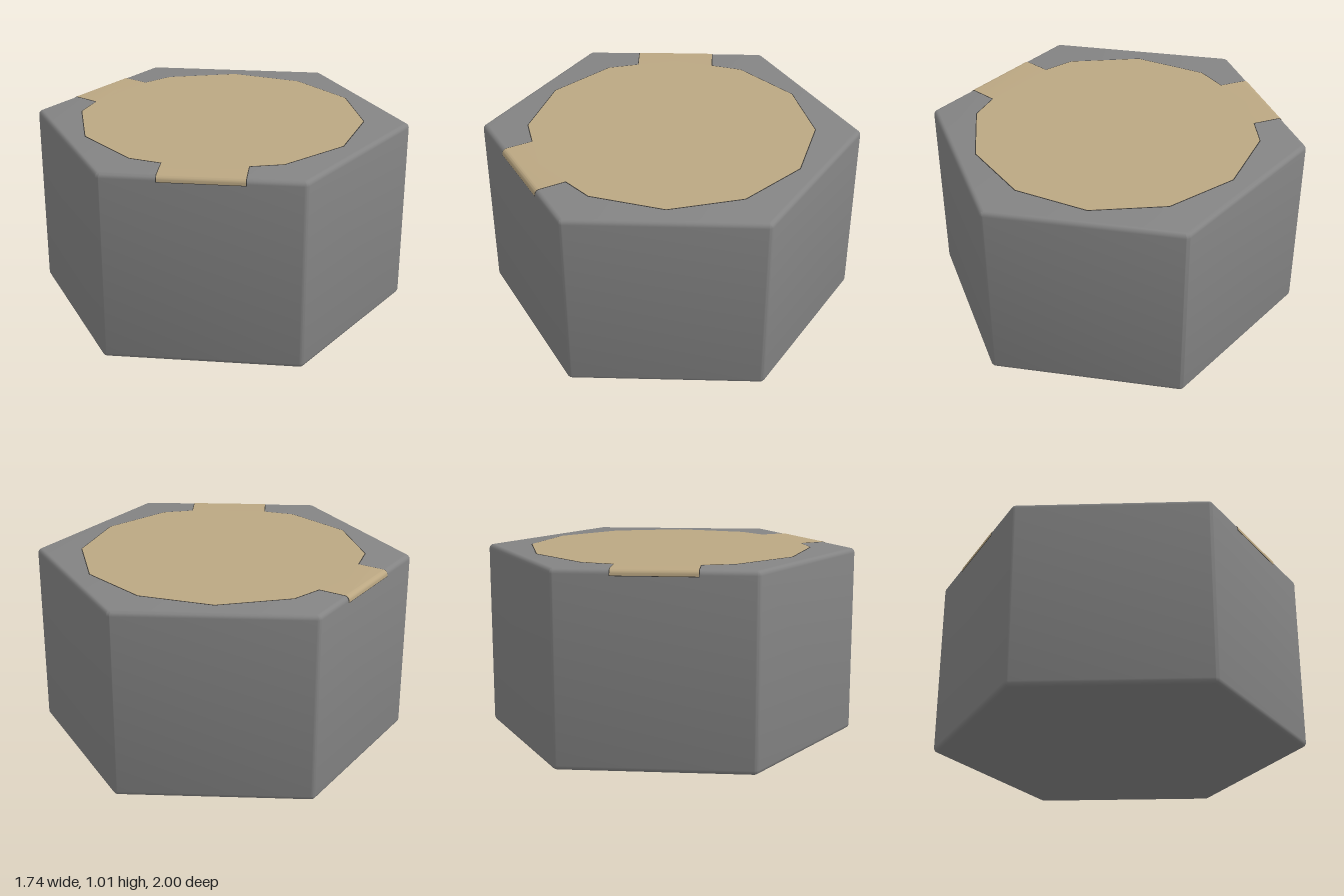
import * as THREE from 'three';
import { toCreasedNormals } from 'three/addons/utils/BufferGeometryUtils.js';

const TOP = 1.01;        // upper face of the inlay
const BODY_TOP = 1.008;  // rim, practically flush with the inlay
const APOTHEM = 0.87;
const BEVEL = 0.025;

// Hexagon with small rounded corners, points towards front and back
function hexShape(apothem, radius) {
  const shape = new THREE.Shape();
  const centre = (apothem - radius) / Math.cos(Math.PI / 6);
  for (let i = 0; i < 6; i++) {
    const a = Math.PI / 6 + (i * Math.PI) / 3;
    shape.absarc(centre * Math.cos(a), centre * Math.sin(a), radius, a - Math.PI / 6, a + Math.PI / 6, false);
  }
  return shape;
}

// Strip running outwards, its outer lip rounded like the body edge
function pathGeometry(width, top, bottom, outer) {
  const profile = new THREE.Shape();
  profile.moveTo(0.7, bottom);
  profile.lineTo(outer, bottom);
  profile.absarc(outer - BEVEL, top - BEVEL, BEVEL, 0, Math.PI / 2, false);
  profile.lineTo(0.7, top);
  profile.closePath();
  const geo = new THREE.ExtrudeGeometry(profile, { depth: width, bevelEnabled: false, curveSegments: 4 });
  geo.translate(0, 0, -width / 2);
  return toCreasedNormals(geo, 0.7);
}

// Twelve-sided disc with two paths out to the block's edge
function inlay(name, material, { radius, width, top, bottom, outer }) {
  const group = new THREE.Group();
  group.name = name;
  const add = (part, geo, angle) => {
    const mesh = new THREE.Mesh(geo, material);
    mesh.name = part;
    mesh.rotation.y = angle;
    group.add(mesh);
  };
  const disc = new THREE.CylinderGeometry(radius, radius, top - bottom, 12);
  disc.translate(0, (top + bottom) / 2, 0);
  add('disc', toCreasedNormals(disc, 0.4), 0);
  const path = pathGeometry(width, top, bottom, outer);
  add('rightPath', path, Math.PI);
  add('frontPath', path, -Math.PI / 3);
  return group;
}

export function createModel() {
  const group = new THREE.Group();
  const grey = new THREE.MeshStandardMaterial({ color: 0x848484 });
  const tan = new THREE.MeshStandardMaterial({ color: 0xbba782 });
  const dark = new THREE.MeshStandardMaterial({ color: 0x3c3a36 });

  // Hexagonal block with softened edges
  const geo = new THREE.ExtrudeGeometry(hexShape(APOTHEM, 0.03), {
    depth: BODY_TOP - 2 * BEVEL,
    bevelThickness: BEVEL,
    bevelSize: BEVEL,
    bevelOffset: -BEVEL,
    bevelSegments: 4,
    curveSegments: 4,
  });
  geo.rotateX(-Math.PI / 2).translate(0, BEVEL, 0);
  const body = new THREE.Mesh(toCreasedNormals(geo, 0.7), grey);
  body.name = 'hexBlock';
  group.add(body);

  // Inlay in the upper face, with a fine dark seam around it
  group.add(inlay('inlay', tan, { radius: 0.76, width: 0.425, top: TOP, bottom: 0.978, outer: APOTHEM + 0.002 }));
  group.add(inlay('seam', dark, { radius: 0.765, width: 0.433, top: TOP - 0.001, bottom: 0.975, outer: APOTHEM + 0.001 }));

  return group;
}
